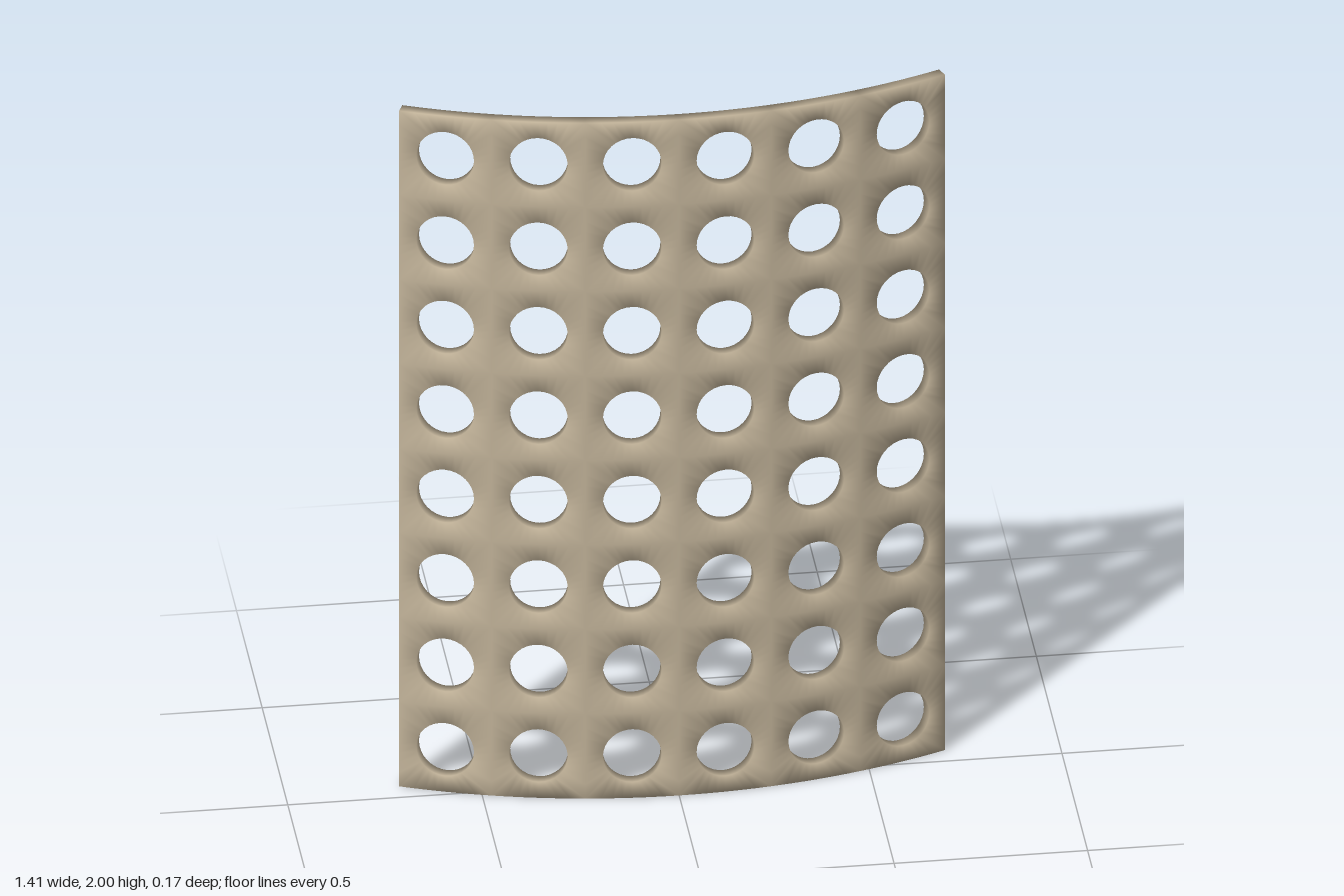
import * as THREE from 'three';
import { mergeVertices } from 'three/addons/utils/BufferGeometryUtils.js';

const COLS = 6, ROWS = 8, SEGMENTS = 32;
const ARC = Math.PI / 4, HEIGHT = 2;
const OUTER_R = 1.842, THICKNESS = 0.03, AXIS_Z = 0.084 - OUTER_R;
const HOLE = 0.625; // hole size as a share of its cell

// Bends a flat point (u, v in -1..1) onto the front or back of the curved panel
function bend([u, v], front) {
  const r = front ? OUTER_R : OUTER_R - THICKNESS;
  const a = u * ARC / 2;
  return [r * Math.sin(a), (v + 1) * HEIGHT / 2, AXIS_Z + r * Math.cos(a)];
}

function panelGeometry() {
  const positions = [];
  const quad = (a, b, c, d) => positions.push(...a, ...b, ...c, ...a, ...c, ...d);
  const onRim = (p, q, axis) =>
    Math.abs(p[axis]) > 0.9999 && Math.abs(q[axis]) > 0.9999 && p[axis] * q[axis] > 0;

  for (let col = 0; col < COLS; col++) {
    for (let row = 0; row < ROWS; row++) {
      // Matching points on the round hole and the square cell border
      const cell = (x, y) => [(2 * col + 1 + x) / COLS - 1, (2 * row + 1 + y) / ROWS - 1];
      const hole = [], border = [];
      for (let i = 0; i <= SEGMENTS; i++) {
        const a = (i % SEGMENTS) / SEGMENTS * Math.PI * 2;
        const x = Math.cos(a), y = Math.sin(a), m = Math.max(Math.abs(x), Math.abs(y));
        hole.push(cell(x * HOLE, y * HOLE));
        border.push(cell(x / m, y / m));
      }
      for (let i = 0; i < SEGMENTS; i++) {
        const h0 = hole[i], h1 = hole[i + 1], b0 = border[i], b1 = border[i + 1];
        // Front face, back face and hole wall
        quad(bend(h0, true), bend(b0, true), bend(b1, true), bend(h1, true));
        quad(bend(h1, false), bend(b1, false), bend(b0, false), bend(h0, false));
        quad(bend(h0, true), bend(h1, true), bend(h1, false), bend(h0, false));
        // Outer rim of the panel
        if (onRim(b0, b1, 0) || onRim(b0, b1, 1)) {
          quad(bend(b0, true), bend(b0, false), bend(b1, false), bend(b1, true));
        }
      }
    }
  }
  // Shared corners give soft shading around the holes
  const soup = new THREE.BufferGeometry();
  soup.setAttribute('position', new THREE.Float32BufferAttribute(positions, 3));
  const geometry = mergeVertices(soup, 1e-4);
  geometry.computeVertexNormals();
  return geometry;
}

export function createModel() {
  const group = new THREE.Group();
  group.name = 'curvedScreen';
  const tan = new THREE.MeshStandardMaterial({ color: 0xc4b59b });
  tan.name = 'warm tan';
  const panel = new THREE.Mesh(panelGeometry(), tan);
  panel.name = 'perforatedPanel';
  group.add(panel);
  return group;
}
